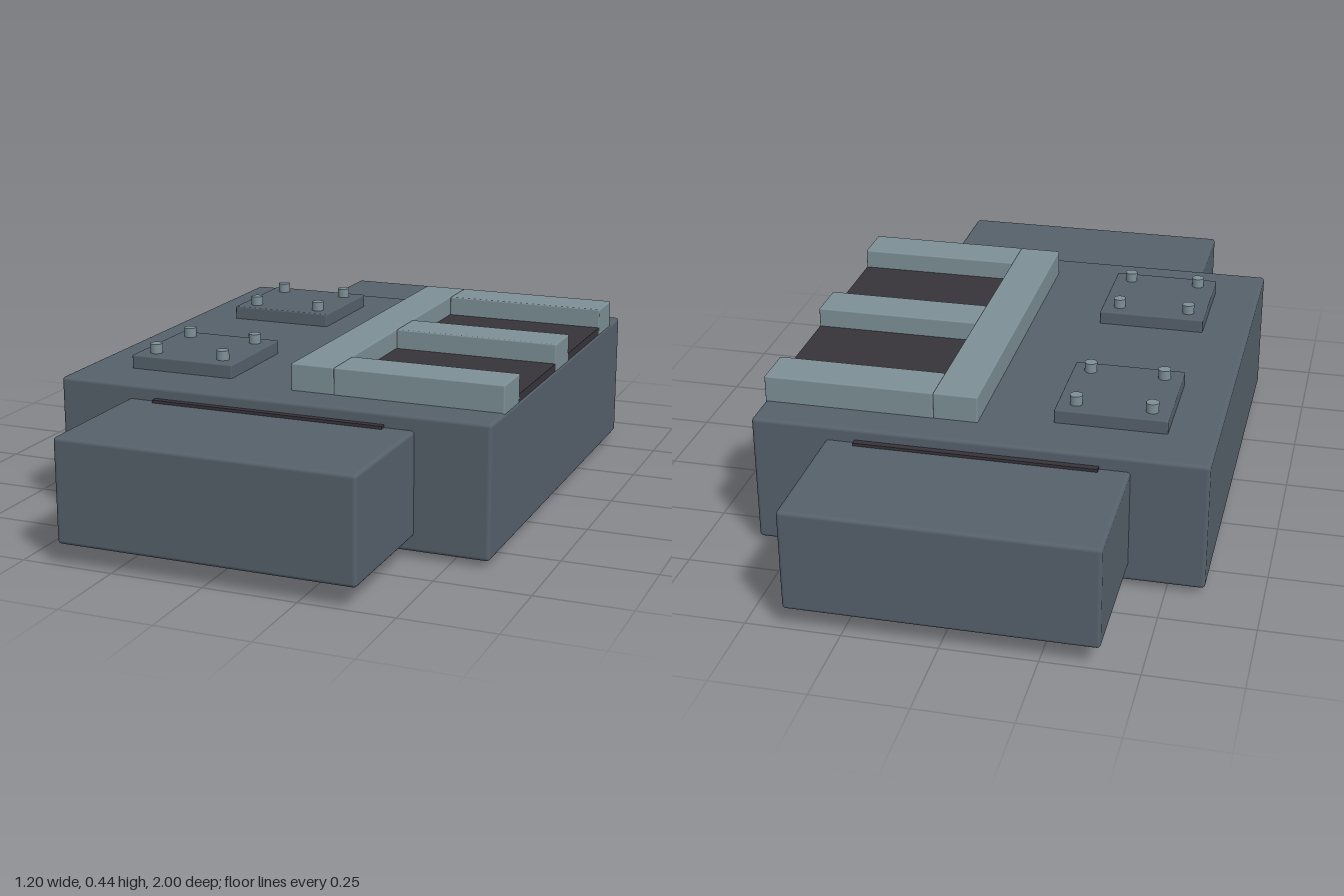
import * as THREE from 'three';
import { RoundedBoxGeometry } from 'three/addons/geometries/RoundedBoxGeometry.js';

export function createModel() {
  const material = (name, color) => {
    const m = new THREE.MeshStandardMaterial({ color });
    m.name = name;
    return m;
  };
  const slate = material('slate hull', 0x56616b);
  const steel = material('pale steel', 0x7d9096);
  const dark = material('dark trim', 0x37343a);

  const model = new THREE.Group();
  model.name = 'armouredModule';

  // Box given by its extents on each axis, with an optional rounded edge
  function block(name, mat, [x0, x1], [y0, y1], [z0, z1], radius = 0) {
    const size = [x1 - x0, y1 - y0, z1 - z0];
    const geometry = radius
      ? new RoundedBoxGeometry(...size, 2, radius)
      : new THREE.BoxGeometry(...size);
    const mesh = new THREE.Mesh(geometry, mat);
    mesh.name = name;
    mesh.position.set((x0 + x1) / 2, (y0 + y1) / 2, (z0 + z1) / 2);
    model.add(mesh);
    return mesh;
  }
  const span = (centre, size) => [centre - size / 2, centre + size / 2];

  // Main hull
  block('hull', slate, [-0.6, 0.6], [0.016, 0.371], [-0.62, 0.62], 0.01);

  // Raised frame: a spine with three arms reaching the left edge
  block('frameSpine', steel, [0.02, 0.139], [0.365, 0.443], [-0.513, 0.513], 0.004);
  for (const z of [-0.451, 0, 0.451]) {
    block('frameArm', steel, [0.139, 0.598], [0.365, 0.443], span(z, 0.126), 0.004);
  }

  const pegGeometry = new THREE.CylinderGeometry(0.017, 0.017, 0.034, 16);
  for (const side of [-1, 1]) {
    // End blocks and the seam strips where they meet the hull
    block('endBlock', slate, [-0.4, 0.4], [0.056, 0.333], span(side * 0.805, 0.39), 0.01);
    block('seamStrip', dark, [-0.32, 0.32], [0.315, 0.341], span(side * 0.626, 0.024));

    // Dark panels between the arms
    block('recessPanel', dark, [0.137, 0.597], [0.365, 0.389], span(side * 0.2255, 0.327));

    // Runners underneath
    block('runner', dark, [-0.424, 0.424], [0, 0.025], span(side * 0.32, 0.046));

    // Hatch plates with four pegs each
    block('hatchPlate', slate, [-0.47, -0.172], [0.365, 0.408], span(side * 0.32, 0.298), 0.004);
    for (const dx of [-0.1, 0.1]) {
      for (const dz of [-0.1, 0.1]) {
        const peg = new THREE.Mesh(pegGeometry, steel);
        peg.name = 'hatchPeg';
        peg.position.set(-0.321 + dx, 0.417, side * 0.32 + dz);
        model.add(peg);
      }
    }
  }
  return model;
}
